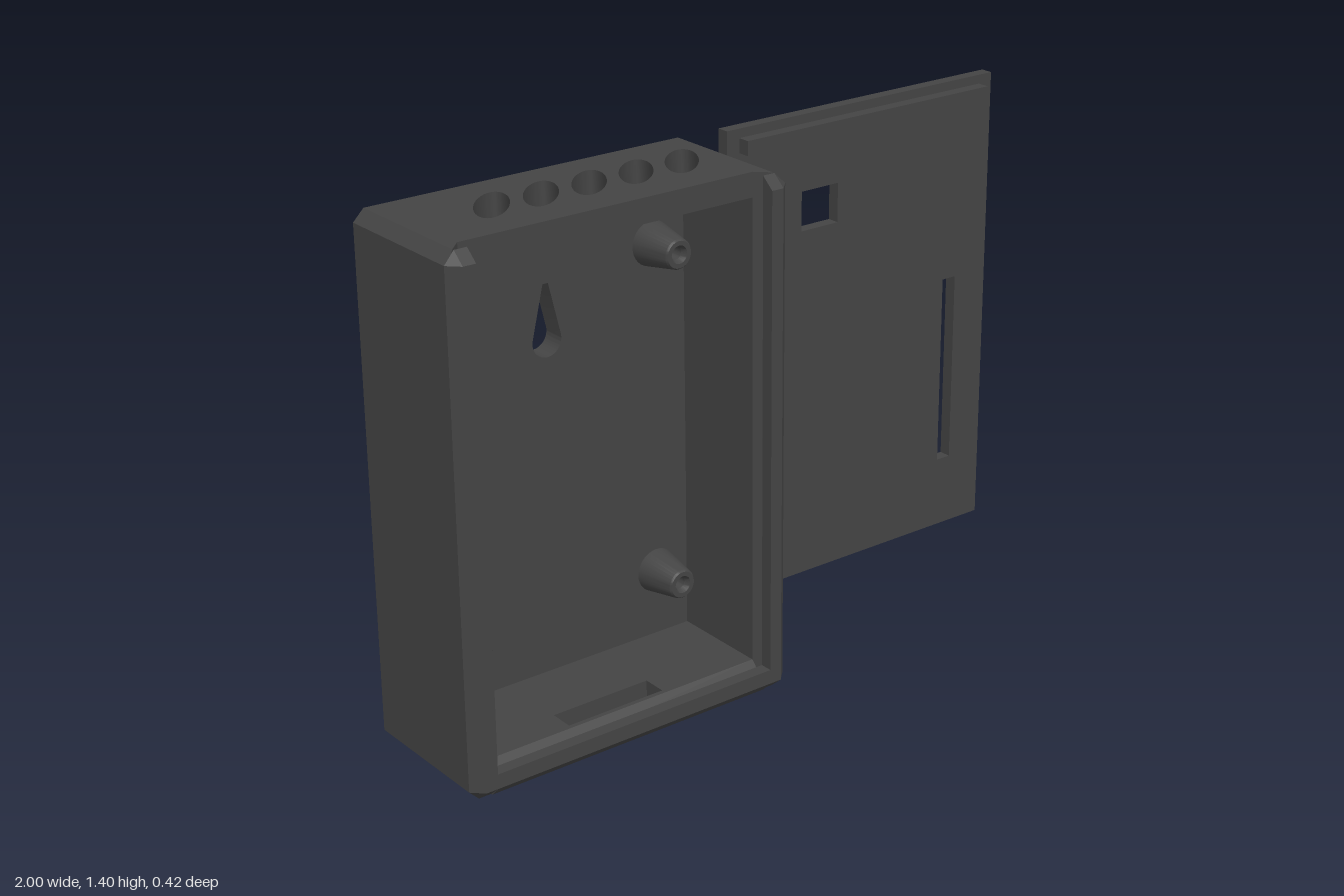
import * as THREE from 'three';
import { toCreasedNormals } from 'three/addons/utils/BufferGeometryUtils.js';

const material = new THREE.MeshStandardMaterial({ color: 0x444444, side: THREE.DoubleSide });

// Box dimensions
const H = 1.4, X0 = -1, X1 = -0.025, INX0 = -0.935, INX1 = -0.09;
const BACK = -0.21, FLOOR = 0.07, CEIL = 1.335, BEVEL = 0.03, POCKET = -0.145;

const poly = (pts) => new THREE.Shape(pts.map(([a, b]) => new THREE.Vector2(a, b)));
const rect = (a0, b0, a1, b1) => poly([[a0, b0], [a1, b0], [a1, b1], [a0, b1]]);

// Extrude an (x, y) shape along z
function alongZ(shape, z0, z1) {
  const g = new THREE.ExtrudeGeometry(shape, { depth: z1 - z0, bevelEnabled: false, curveSegments: 24 });
  return g.translate(0, 0, z0);
}

// Extrude an (x, -z) shape along y
function alongY(shape, y0, y1) {
  const g = new THREE.ExtrudeGeometry(shape, { depth: y1 - y0, bevelEnabled: false, curveSegments: 24 });
  return g.rotateX(-Math.PI / 2).translate(0, y0, 0);
}

function add(parent, name, geometry) {
  const mesh = new THREE.Mesh(toCreasedNormals(geometry, 0.5), material);
  mesh.name = name;
  parent.add(mesh);
  return mesh;
}

// Side wall: plan outline in strips, with the ends cut back to form the corner chamfers
function sideWall(box, name, mirrored) {
  const backCorner = mirrored ? [[X0, -0.18], [-0.97, BACK]] : [[X0, BACK], [-0.97, BACK]];
  const strips = [
    [...backCorner, [-0.97, 0.17], [-0.978, 0.175], [-0.97, 0.175], [-0.97, 0.21], [X0, 0.18]],
    [[-0.97, BACK], [INX0, BACK], [INX0, 0.135], [-0.97, 0.17]],
    [[-0.97, 0.175], [INX0, 0.175], [INX0, 0.21], [-0.97, 0.21]],
  ];
  const wall = new THREE.Group();
  wall.name = name;
  for (const strip of strips) {
    const g = alongY(poly(strip.map(([x, z]) => [mirrored ? X0 + X1 - x : x, -z])), 0, H);
    const p = g.attributes.position;
    for (let i = 0; i < p.count; i++) {
      const fromSide = Math.min(p.getX(i) - X0, X1 - p.getX(i));
      const inset = Math.max(0, BEVEL - fromSide, p.getZ(i) - 0.18);
      p.setY(i, THREE.MathUtils.clamp(p.getY(i), inset, H - inset));
    }
    add(wall, name + 'Strip', g);
  }
  box.add(wall);
}

function buildBox() {
  const box = new THREE.Group();
  box.name = 'caseBody';
  sideWall(box, 'rightWall', false);
  sideWall(box, 'leftWall', true);

  // Back with teardrop hanging hole
  const back = rect(INX0, FLOOR, INX1, CEIL);
  const hole = new THREE.Path();
  hole.moveTo(-0.523, 1.13);
  hole.lineTo(-0.557, 0.99);
  hole.absarc(-0.515, 0.98, 0.043, Math.PI - 0.23, Math.PI * 2 + 0.23, false);
  hole.lineTo(-0.507, 1.13);
  hole.closePath();
  back.holes.push(hole);
  add(box, 'backPanel', alongZ(back, BACK, POCKET));

  // Top with slanted oval vents
  const top = rect(INX0, -0.135, INX1, -BACK);
  for (let i = 0; i < 6; i++) {
    const vent = new THREE.Path();
    vent.absellipse(-0.865 + i * 0.139, 0.043, 0.1, 0.042, 0, Math.PI * 2, false, THREE.MathUtils.degToRad(51));
    top.holes.push(vent);
  }
  add(box, 'ventedTop', alongY(top, CEIL, H));

  // Floor with cable slot
  const floor = rect(INX0, -0.135, INX1, -BACK);
  floor.holes.push(rect(-0.665, -0.122, -0.375, -0.055));
  add(box, 'floorPanel', alongY(floor, 0, FLOOR));

  // Grooved front lip along the bottom, profile in (-z, y) swept along x
  const lip = poly([[-0.135, 0], [-0.135, FLOOR], [-0.175, 0.03], [-0.175, FLOOR],
    [-0.21, FLOOR], [-0.21, 0.03], [-0.18, 0]]);
  const lipGeometry = alongZ(lip, 0, INX1 - INX0).rotateY(Math.PI / 2).translate(INX0, 0, 0);
  add(box, 'bottomLip', lipGeometry);

  // Tapered screw posts
  const profile = [[0.06, 0], [0.04, 0.11], [0.036, 0.115], [0.024, 0.115], [0.016, 0.1], [0.016, 0.02], [0, 0.02]];
  const post = new THREE.LatheGeometry(profile.map(([r, y]) => new THREE.Vector2(r, y)), 32).rotateX(Math.PI / 2);
  for (const x of [-0.82, -0.19]) {
    for (const y of [0.255, 1.165]) add(box, 'screwPost', post).position.set(x, y, POCKET);
  }
  return box;
}

function buildLid() {
  const lid = new THREE.Group();
  lid.name = 'slidingLid';
  // Plate with a square window and a tall slot
  const plate = rect(0.075, 0.075, 1, H);
  plate.holes.push(rect(0.325, 1.08, 0.45, 1.19), rect(0.842, 0.28, 0.888, 0.83));
  add(lid, 'lidPlate', alongZ(plate, BACK, -0.175));
  // Locking ridge near the top edge
  add(lid, 'lidRidge', alongZ(rect(0.115, 1.335, 0.955, 1.375), -0.175, -0.14));
  return lid;
}

export function createModel() {
  const model = new THREE.Group();
  model.name = 'wallCaseWithLid';
  model.add(buildBox(), buildLid());
  return model;
}
